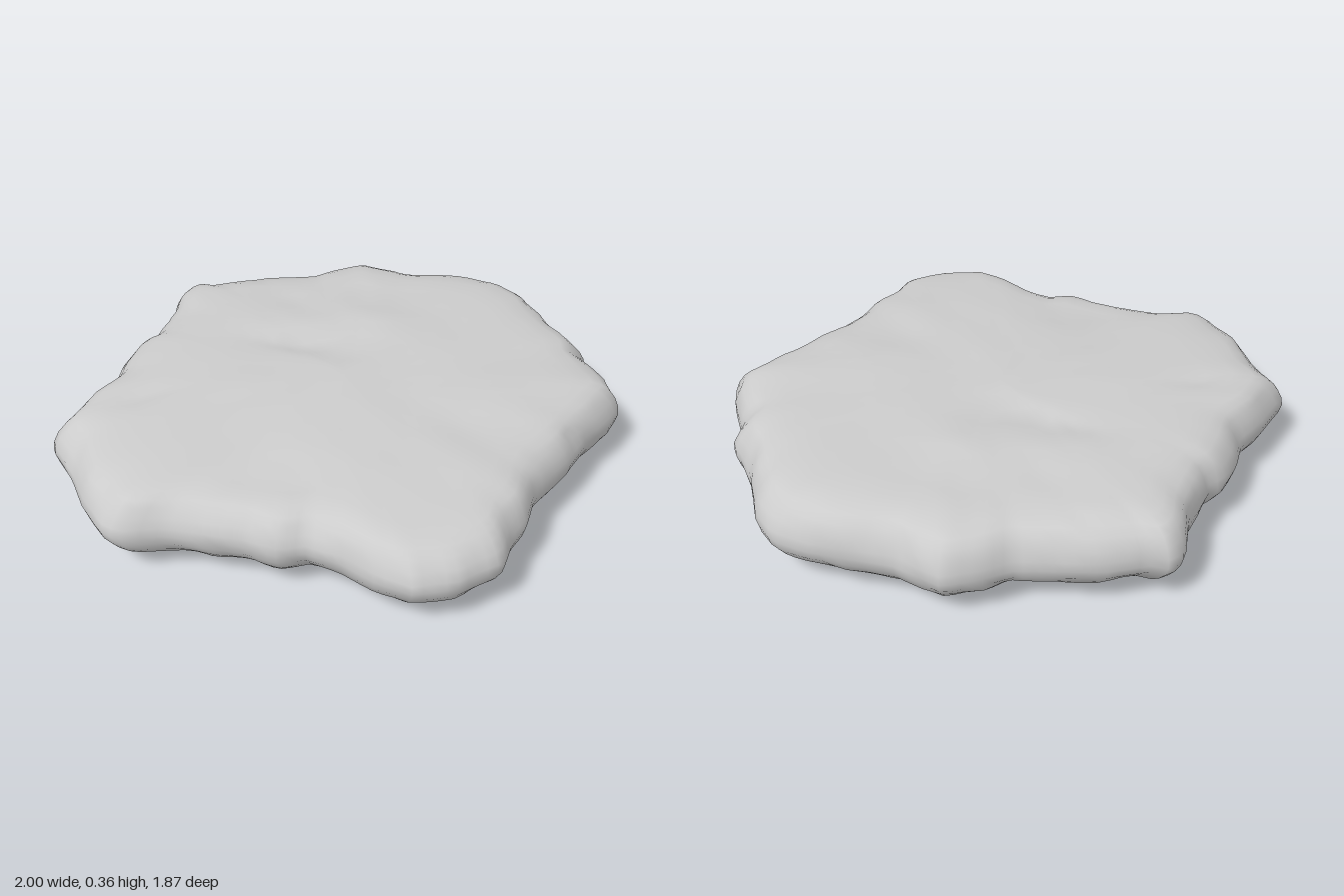
import * as THREE from 'three';
import { mergeVertices } from 'three/addons/utils/BufferGeometryUtils.js';

// Plan outline of the slab as [x, z] corners
const OUTLINE = [
  [1, -0.15], [0.97, -0.22], [0.87, -0.38], [0.86, -0.47], [0.82, -0.5], [0.72, -0.62], [0.62, -0.8], [0.53, -0.88],
  [0.4, -0.9], [0.1, -0.89], [-0.08, -0.935], [-0.2, -0.86], [-0.28, -0.8], [-0.57, -0.72], [-0.7, -0.65], [-0.77, -0.65],
  [-0.8, -0.57], [-0.78, -0.43], [-0.82, -0.22], [-0.86, -0.18], [-0.89, -0.05], [-0.89, 0.08], [-0.95, 0.22], [-1, 0.4],
  [-0.95, 0.46], [-0.87, 0.56], [-0.8, 0.68], [-0.7, 0.8], [-0.63, 0.835], [-0.48, 0.79], [-0.2, 0.8], [-0.1, 0.83],
  [0, 0.8], [0.12, 0.83], [0.25, 0.9], [0.37, 0.935], [0.5, 0.88], [0.64, 0.77], [0.66, 0.65], [0.7, 0.55],
  [0.72, 0.4], [0.83, 0.2], [0.89, 0.05], [0.96, -0.06],
];

// Cross-section from the underside centre to the top centre: [fraction of outline, height]
const SECTION = [
  [0, 0.016], [0.15, 0.016], [0.3, 0.017], [0.45, 0.02], [0.6, 0.026], [0.72, 0.035], [0.81, 0.047], [0.88, 0.063],
  [0.93, 0.085], [0.965, 0.115], [0.99, 0.15], [1, 0.185], [0.996, 0.22], [0.98, 0.26], [0.955, 0.295], [0.925, 0.317],
  [0.88, 0.332], [0.81, 0.342], [0.72, 0.347], [0.6, 0.35], [0.5, 0.352], [0.4, 0.354], [0.3, 0.355], [0.2, 0.356],
  [0.1, 0.356], [0, 0.356],
];

// Dips and rises of the top face: [x, z, radius x, radius z, height]
const RELIEF = [
  [-0.2, -0.19, 0.2, 0.06, -0.022], [-0.2, -0.33, 0.25, 0.1, 0.01], [-0.12, 0.61, 0.18, 0.05, -0.016],
  [0.05, -0.42, 0.15, 0.08, 0.014], [0.48, 0.22, 0.12, 0.12, -0.014], [-0.72, 0.24, 0.07, 0.06, -0.016],
  [0, -0.58, 0.15, 0.06, -0.012], [-0.35, -0.5, 0.12, 0.06, -0.01],
];

const cross = (ax, az, bx, bz) => ax * bz - az * bx;

// Distance from the centre to the outline in direction (dx, dz)
function reach(dx, dz) {
  for (let i = 0; i < OUTLINE.length; i++) {
    const [ax, az] = OUTLINE[i];
    const [bx, bz] = OUTLINE[(i + 1) % OUTLINE.length];
    const between = cross(ax, az, dx, dz) * cross(dx, dz, bx, bz) >= 0;
    if (between && ax * dx + az * dz > 0 && bx * dx + bz * dz > 0) {
      return cross(ax, az, bx - ax, bz - az) / cross(dx, dz, bx - ax, bz - az);
    }
  }
  return 0.9;
}

// Value noise in the range -1 to 1, blended linearly so that it keeps slight creases
function hash(x, y, z) {
  const s = Math.sin(x * 127.1 + y * 311.7 + z * 74.7) * 43758.5453;
  return (s - Math.floor(s)) * 2 - 1;
}
function noise(x, y, z) {
  const cell = [x, y, z].map(Math.floor);
  const f = [x - cell[0], y - cell[1], z - cell[2]];
  let sum = 0;
  for (let c = 0; c < 8; c++) {
    const o = [c & 1, (c >> 1) & 1, c >> 2];
    const w = o.reduce((p, bit, k) => p * (bit ? f[k] : 1 - f[k]), 1);
    sum += w * hash(cell[0] + o[0], cell[1] + o[1], cell[2] + o[2]);
  }
  return sum;
}

function slabGeometry() {
  const profile = SECTION.map(([r, y]) => new THREE.Vector2(r, y));
  let geometry = new THREE.LatheGeometry(profile, 168);
  geometry.deleteAttribute('uv');
  geometry.deleteAttribute('normal');
  geometry = mergeVertices(geometry, 1e-4);

  const pos = geometry.attributes.position;
  for (let i = 0; i < pos.count; i++) {
    let x = pos.getX(i), y = pos.getY(i), z = pos.getZ(i);
    const s = Math.hypot(x, z);
    const up = (y - 0.185) / 0.17;
    if (s > 1e-4) {
      // Stretch the round section to the outline and chip the rim
      const dx = x / s, dz = z / s;
      const k = reach(dx, dz);
      const side = THREE.MathUtils.smoothstep(s, 0.6, 0.9) * Math.min(1, 0.2 + Math.abs(up) * 1.5);
      const chip = side * (0.014 * noise(x * 6, y * 10, z * 6) + 0.012 * noise(x * 14, y * 18, z * 14));
      x = dx * (s * k + chip);
      z = dz * (s * k + chip);
    }
    // Uneven top and underside
    y += Math.abs(up) * (0.006 * noise(x * 4 + 9, up * 2, z * 4) + 0.004 * noise(x * 9, up * 2, z * 9 + 5));
    if (up > 0) {
      // The top falls gently towards the front
      y -= up * 0.022 * THREE.MathUtils.smoothstep(z, 0, 0.8);
      for (const [cx, cz, rx, rz, h] of RELIEF) {
        y += up * h * Math.exp(-(((x - cx) / rx) ** 2) - ((z - cz) / rz) ** 2);
      }
    }
    pos.setXYZ(i, x, y, z);
  }
  geometry.computeBoundingBox();
  geometry.translate(0, -geometry.boundingBox.min.y, 0);
  geometry.computeVertexNormals();
  return geometry;
}

export function createModel() {
  const group = new THREE.Group();
  group.name = 'flatRock';
  const slab = new THREE.Mesh(slabGeometry(), new THREE.MeshStandardMaterial({ color: 0xcccccc }));
  slab.name = 'stoneSlab';
  group.add(slab);
  return group;
}
